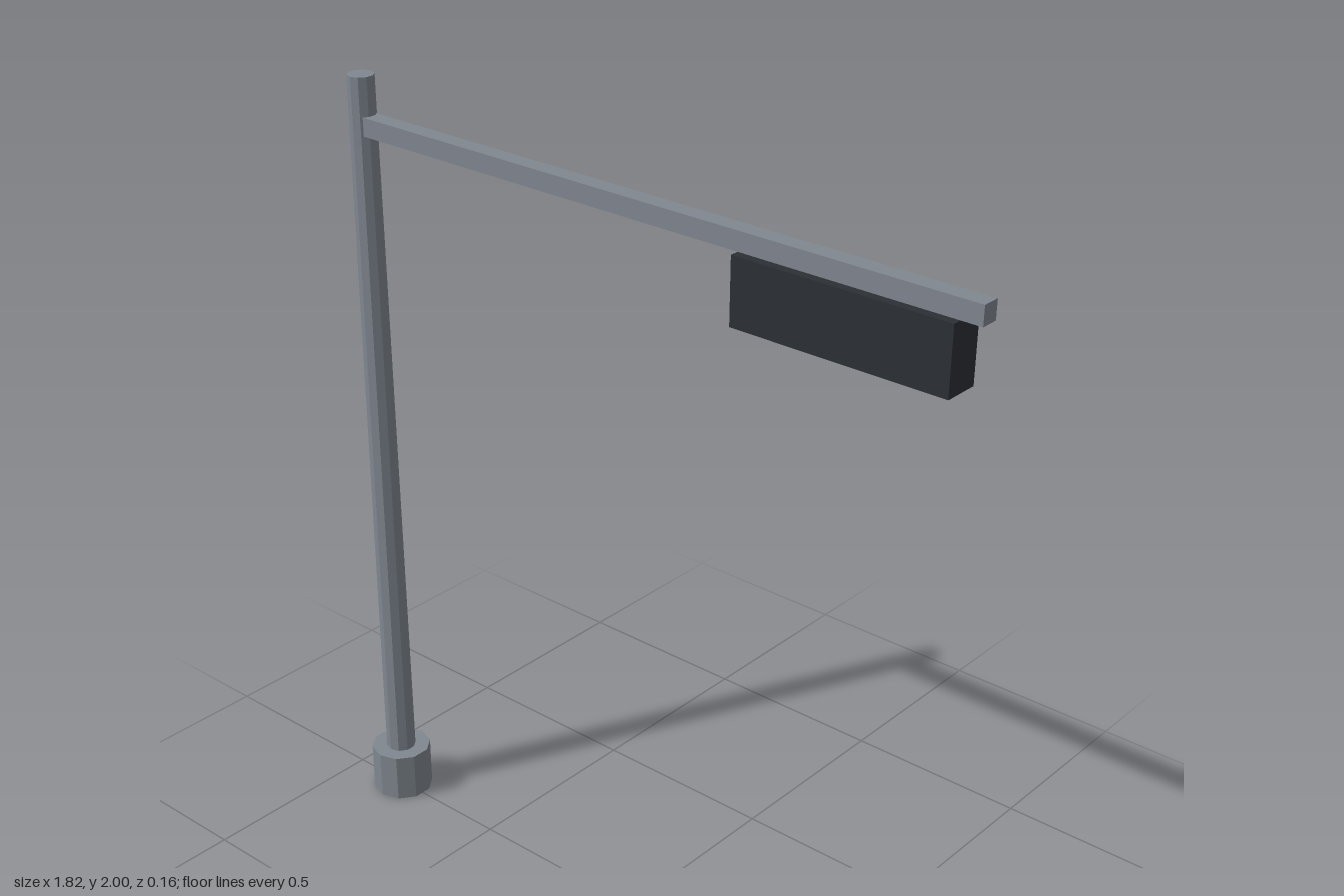
import * as THREE from 'three';

const paint = (color) => new THREE.MeshStandardMaterial({ color, flatShading: true });

export function createModel() {
  const model = new THREE.Group();
  model.name = 'trafficSignal';

  const steel = paint(0x808790);
  const dark = paint(0x2c3035);
  const poleX = -0.834;

  const add = (name, geometry, material, x, y, z) => {
    const mesh = new THREE.Mesh(geometry, material);
    mesh.name = name;
    mesh.position.set(x, y, z);
    model.add(mesh);
    return mesh;
  };

  // Footing and slightly tapered pole
  add('base', new THREE.CylinderGeometry(0.079, 0.079, 0.13, 10), steel, poleX, 0.065, 0);
  add('pole', new THREE.CylinderGeometry(0.033, 0.039, 1.9, 10), steel, poleX, 1.05, 0);

  // Horizontal arm, running from the pole's axis
  const armEnd = 0.906;
  add('arm', new THREE.BoxGeometry(armEnd - poleX, 0.046, 0.044), steel, (armEnd + poleX) / 2, 1.882, 0);

  // Signal housing hung below the arm
  add('signalHousing', new THREE.BoxGeometry(0.545, 0.16, 0.088), dark, 0.583, 1.779, 0);

  // Three lenses on the rear face
  const lensGeometry = new THREE.CylinderGeometry(0.053, 0.053, 0.028, 16).rotateX(-Math.PI / 2);
  [['greenLens', 0x1f9d4a], ['amberLens', 0xc9860f], ['redLens', 0xd23535]].forEach(([name, color], i) =>
    add(name, lensGeometry, paint(color), 0.583 + (i - 1) * 0.178, 1.779, -0.044));

  return model;
}
